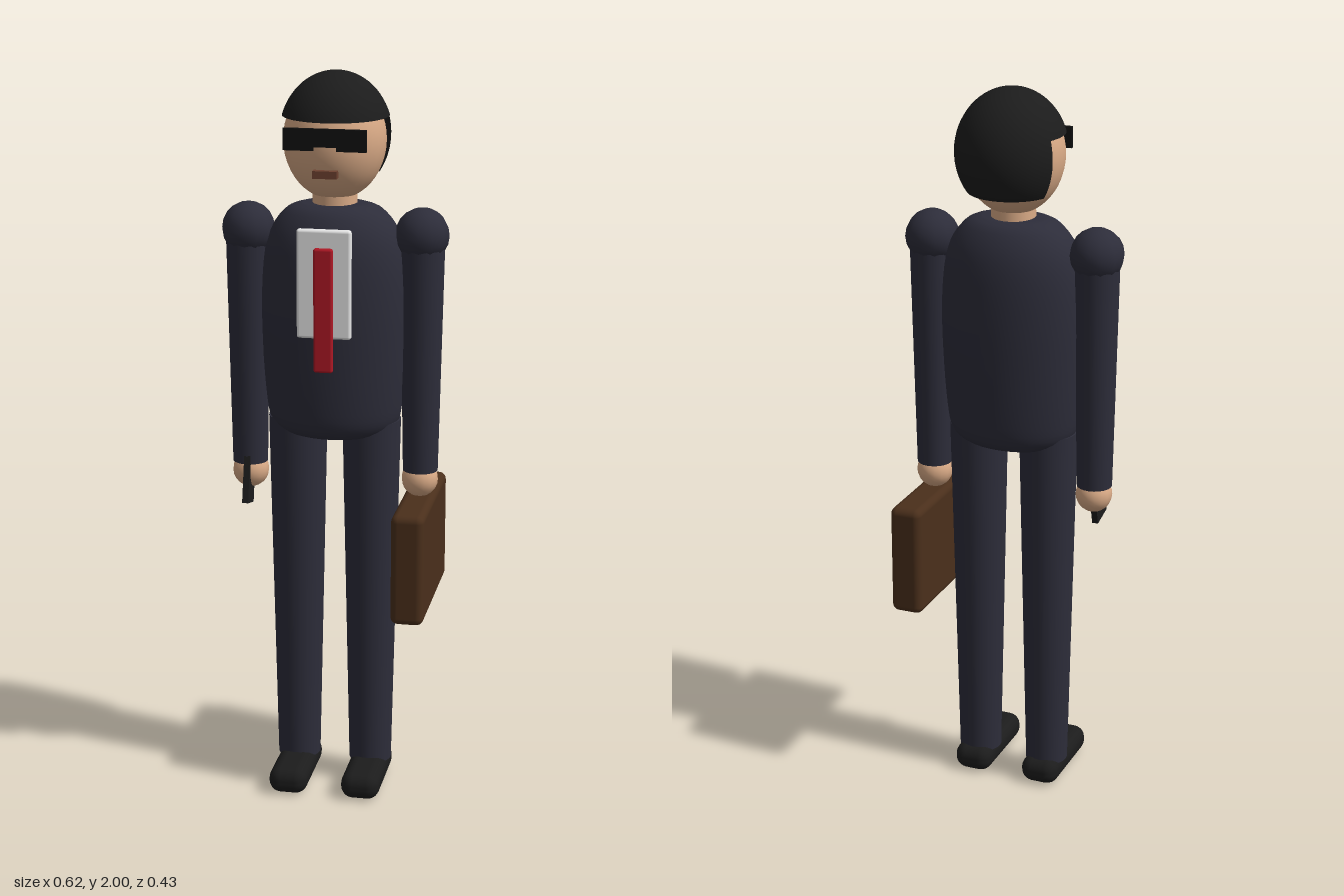
import * as THREE from 'three';
import { RoundedBoxGeometry } from 'three/addons/geometries/RoundedBoxGeometry.js';

function makeMaterial(name, color) {
  const m = new THREE.MeshStandardMaterial({ color });
  m.name = name;
  return m;
}

export function createModel() {
  const model = new THREE.Group();
  model.name = 'suitedMan';

  const suit = makeMaterial('navySuit', 0x2d2d3a);
  const skin = makeMaterial('skin', 0xd9aa86);
  const black = makeMaterial('softBlack', 0x1c1c1c);
  black.side = THREE.DoubleSide;
  const lens = makeMaterial('darkLens', 0x111111);
  const white = makeMaterial('shirtWhite', 0xe8e8e8);
  const red = makeMaterial('tieRed', 0xb01825);
  const brown = makeMaterial('leatherBrown', 0x4a2f1b);
  const lip = makeMaterial('mouthBrown', 0x6e4230);

  const add = (name, geometry, material, x, y, z) => {
    const mesh = new THREE.Mesh(geometry, material);
    mesh.name = name;
    mesh.position.set(x, y, z);
    model.add(mesh);
    return mesh;
  };
  const rounded = (w, h, d, r) => new RoundedBoxGeometry(w, h, d, 3, r);

  // Torso: a smooth rounded profile, flattened front to back
  const outline = [
    [0.09, 1.01], [0.145, 1.025], [0.175, 1.055], [0.187, 1.12], [0.196, 1.24],
    [0.2, 1.38], [0.193, 1.5], [0.172, 1.58], [0.13, 1.635], [0.085, 1.652],
  ].map(([x, y]) => new THREE.Vector2(x, y));
  const profile = new THREE.SplineCurve(outline).getPoints(30);
  profile.unshift(new THREE.Vector2(0, 1));
  profile.push(new THREE.Vector2(0, 1.655));
  add('jacket', new THREE.LatheGeometry(profile, 32), suit, 0, 0, 0).scale.z = 0.735;

  // Shirt front and tie
  add('shirtFront', rounded(0.146, 0.293, 0.022, 0.008), white, 0, 1.462, 0.151);
  add('tie', rounded(0.052, 0.335, 0.018, 0.007), red, 0, 1.393, 0.164);

  // Neck and head
  add('neck', new THREE.CylinderGeometry(0.058, 0.062, 0.12, 20), skin, 0, 1.66, 0);
  add('head', new THREE.SphereGeometry(1, 32, 24), skin, 0, 1.82, 0).scale.set(0.137, 0.16, 0.138);

  // Hair: a cap on top and a shell around the back of the head
  const hairParts = {
    hairCap: new THREE.SphereGeometry(1, 36, 14, 0, Math.PI * 2, 0, 1.255),
    hairBack: new THREE.SphereGeometry(1, 24, 12, Math.PI + 0.4, Math.PI - 0.8, 1.2, 1.03),
  };
  for (const [name, geometry] of Object.entries(hairParts)) {
    add(name, geometry, black, 0, 1.83, -0.013).scale.set(0.15, 0.17, 0.153);
  }

  // Sunglasses and mouth
  add('glassesBar', new THREE.BoxGeometry(0.22, 0.048, 0.009), lens, 0, 1.846, 0.14);
  add('mouth', new THREE.BoxGeometry(0.064, 0.02, 0.026), lip, 0, 1.75, 0.133);

  for (const [side, s] of [['left', 1], ['right', -1]]) {
    // Sunglass lens
    add(side + 'Lens', new THREE.BoxGeometry(0.08, 0.058, 0.01), lens, s * 0.07, 1.841, 0.14);

    // Arm and hand
    add(side + 'Shoulder', new THREE.SphereGeometry(0.073, 12, 10), suit, s * 0.236, 1.572, 0);
    add(side + 'Arm', new THREE.CylinderGeometry(0.061, 0.048, 0.66, 20), suit, s * 0.237, 1.25, 0);
    add(side + 'Hand', new THREE.SphereGeometry(0.05, 16, 12), skin, s * 0.236, 0.895, 0);

    // Leg and shoe
    add(side + 'Leg', new THREE.CylinderGeometry(0.08, 0.059, 1.0, 24), suit, s * 0.102, 0.56, 0);
    add(side + 'Shoe', rounded(0.108, 0.075, 0.27, 0.034), black, s * 0.102, 0.0385, 0.055);
  }

  // Briefcase below the left hand
  add('briefcase', rounded(0.09, 0.31, 0.428, 0.02), brown, 0.235, 0.697, 0);

  // Slim handset in the right hand, tilted slightly forward
  const handset = add('handset', new THREE.BoxGeometry(0.017, 0.13, 0.07), black, -0.236, 0.873, 0.03);
  handset.rotation.x = -0.25;

  return model;
}
